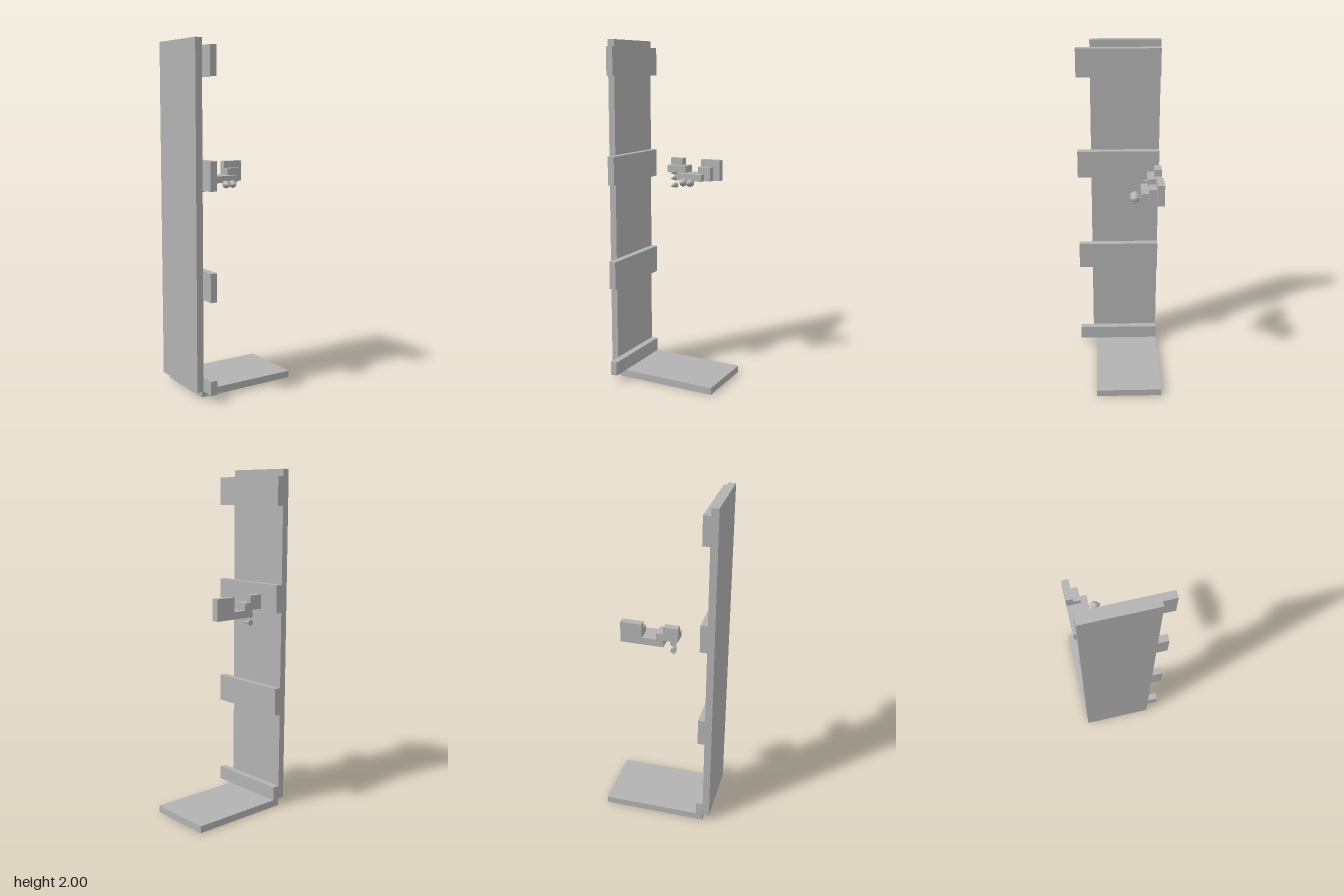
import * as THREE from 'three';

const U = 2 / 49; // one modelling unit: the board thickness

export function createModel() {
  const model = new THREE.Group();
  const gray = new THREE.MeshStandardMaterial({ color: 0xb2b2b2, flatShading: true });
  gray.name = 'plain gray';

  const add = (name, geometry, parent = model) => {
    const mesh = new THREE.Mesh(geometry, gray);
    mesh.name = name;
    parent.add(mesh);
    return mesh;
  };

  // Box between two corners, given in board units
  const box = (name, [x0, x1], [y0, y1], [z0, z1], parent) => {
    const mesh = add(name, new THREE.BoxGeometry((x1 - x0) * U, (y1 - y0) * U, (z1 - z0) * U), parent);
    mesh.position.set((x0 + x1) / 2 * U, (y0 + y1) / 2 * U, (z0 + z1) / 2 * U);
  };

  // Floor and tall side wall
  box('floorBoard', [-7, 8], [0, 1], [-6, 3.5]);
  box('wallPanel', [-8, -7], [1, 49], [-6, 4]);

  // Cross battens on the inner side of the wall
  for (const [bottom, top] of [[1, 3], [14, 18], [29, 33], [44, 48]]) {
    box('wallBatten', [-7, -6], [bottom, top], [-6, 6]);
  }

  // Stepped ledge floating beside the wall
  const ledge = new THREE.Group();
  ledge.name = 'steppedLedge';
  model.add(ledge);
  box('lowerLedge', [-1, 3], [29, 30], [-6, -3], ledge);
  box('leftMiddleStep', [-3, 0], [30, 31], [-6, -4], ledge);
  box('leftTopStep', [-3, -1], [31, 32], [-6, -5], ledge);
  box('rightMiddleStep', [2, 4], [29, 31], [-6, -4], ledge);
  box('rightBackStep', [2, 5], [29, 32], [-6, -5], ledge);

  // Column of forward-pointing spikes under the left step
  for (const y of [1.222, 1.187, 1.142]) {
    const spike = add('spike', new THREE.ConeGeometry(0.018, 0.07, 8).rotateX(Math.PI / 2));
    spike.position.set(-0.085, y, -0.165);
  }

  // Pair of pointed buds on short stems
  const profile = [[0, 0], [0.016, 0.001], [0.0225, 0.011], [0.0235, 0.019], [0.0225, 0.028], [0.015, 0.04], [0, 0.055]]
    .map(([r, h]) => new THREE.Vector2(r, h));
  for (const x of [0.024, 0.069]) {
    const bud = new THREE.Group();
    bud.name = 'bud';
    bud.position.set(x, 1.178, -0.109);
    model.add(bud);
    add('budBody', new THREE.LatheGeometry(profile, 10).rotateX(Math.PI / 2), bud);
    const stem = add('budStem', new THREE.CylinderGeometry(0.004, 0.004, 0.024, 8).rotateX(Math.PI / 2), bud);
    stem.position.z = -0.011;
  }

  return model;
}
